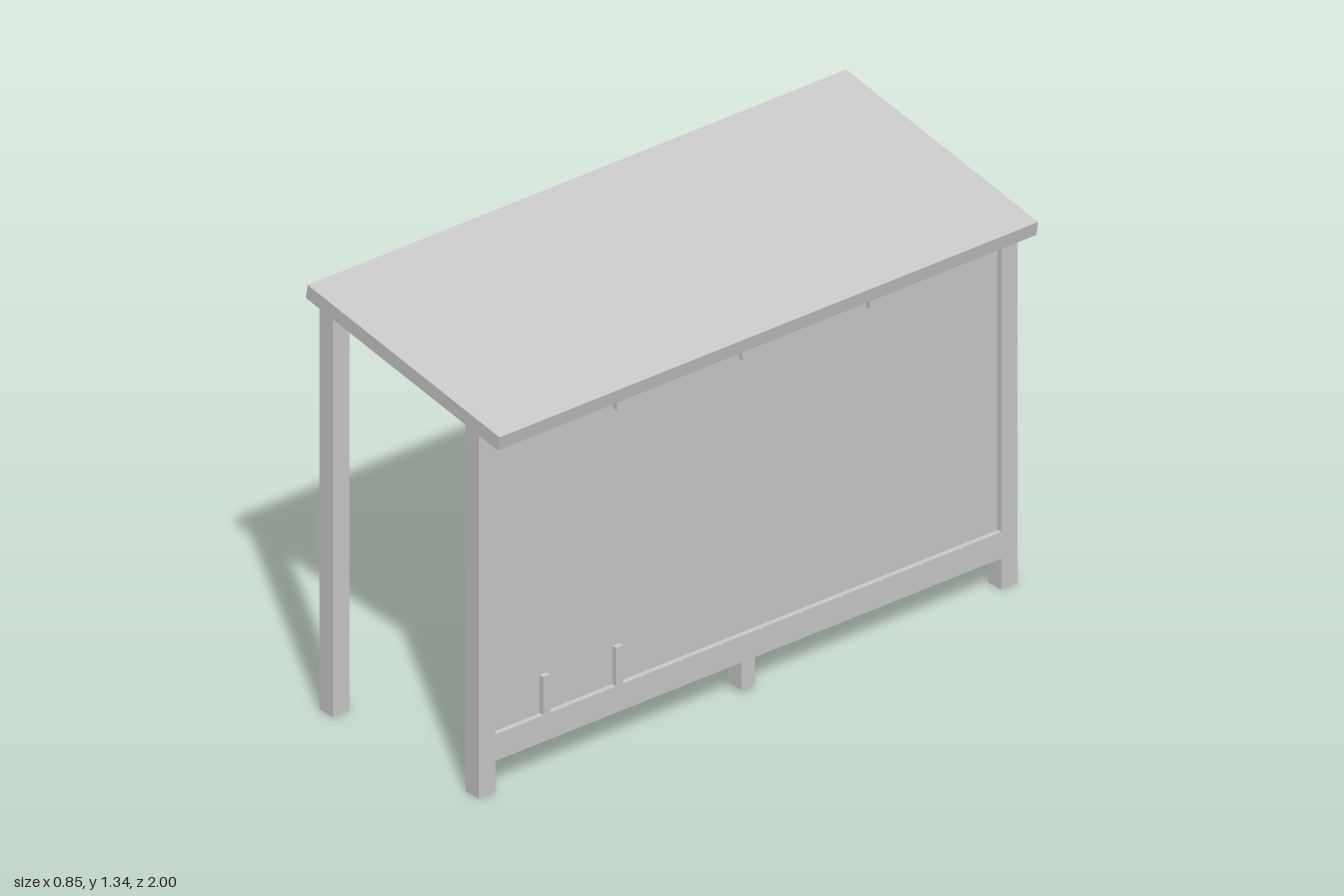
import * as THREE from 'three';

const material = new THREE.MeshStandardMaterial({ color: 0xcccccc, flatShading: true });

export function createModel() {
  const shelter = new THREE.Group();
  shelter.name = 'shelter';

  // Box given by its limits on each axis
  const box = (name, [x0, x1], [y0, y1], [z0, z1]) => {
    const mesh = new THREE.Mesh(new THREE.BoxGeometry(x1 - x0, y1 - y0, z1 - z0), material);
    mesh.position.set((x0 + x1) / 2, (y0 + y1) / 2, (z0 + z1) / 2);
    mesh.name = name;
    shelter.add(mesh);
  };

  // Side profile in x and y, extruded along z
  const extrude = (name, points, z0, z1) => {
    const shape = new THREE.Shape(points.map(([x, y]) => new THREE.Vector2(x, y)));
    const geometry = new THREE.ExtrudeGeometry(shape, { depth: z1 - z0, bevelEnabled: false });
    const mesh = new THREE.Mesh(geometry, material);
    mesh.position.z = z0;
    mesh.name = name;
    shelter.add(mesh);
  };

  const wall = [0.275, 0.335]; // depth of the wall frame
  const span = [-0.94, 0.94]; // clear width between posts

  // Sloping roof slab
  extrude('roof', [[-0.425, 1.299], [0.417, 1.153], [0.425, 1.198], [-0.417, 1.344]], -1, 1);

  // Corner posts, their tops sunk into the roof
  for (const [z0, z1] of [[-1, -0.94], [0.94, 1]]) {
    extrude('openSidePost', [[-0.365, 0], [-0.305, 0], [-0.305, 1.283], [-0.365, 1.293]], z0, z1);
    extrude('wallSidePost', [[0.275, 0], [0.335, 0], [0.335, 1.172], [0.275, 1.183]], z0, z1);
  }

  // Wall: recessed panel between two rails, with a short middle foot
  box('wallPanel', [0.29, 0.318], [0.17, 1.12], span);
  box('bottomRail', wall, [0.1, 0.185], span);
  extrude('topRail', [[0.275, 1.105], [0.335, 1.105], [0.335, 1.172], [0.275, 1.183]], ...span);
  box('middleFoot', wall, [0.012, 0.1], [-0.025, 0.025]);

  // Small tabs hanging from the top rail
  for (const [z, half] of [[-0.47, 0.018], [0, 0.022], [0.47, 0.018]]) {
    box('panelTab', wall, [1.07, 1.105], [z - half, z + half]);
  }

  // Bench on two brackets
  extrude('benchSeat', [[0.135, 0.28], [0.292, 0.28], [0.292, 0.326], [0.135, 0.31]], 0.435, 0.79);
  for (const z of [0.478, 0.748]) {
    box('bracketUpright', wall, [0.185, 0.308], [z - 0.013, z + 0.013]);
    box('bracketArm', [0.155, 0.28], [0.265, 0.28], [z - 0.013, z + 0.013]);
  }

  return shelter;
}
